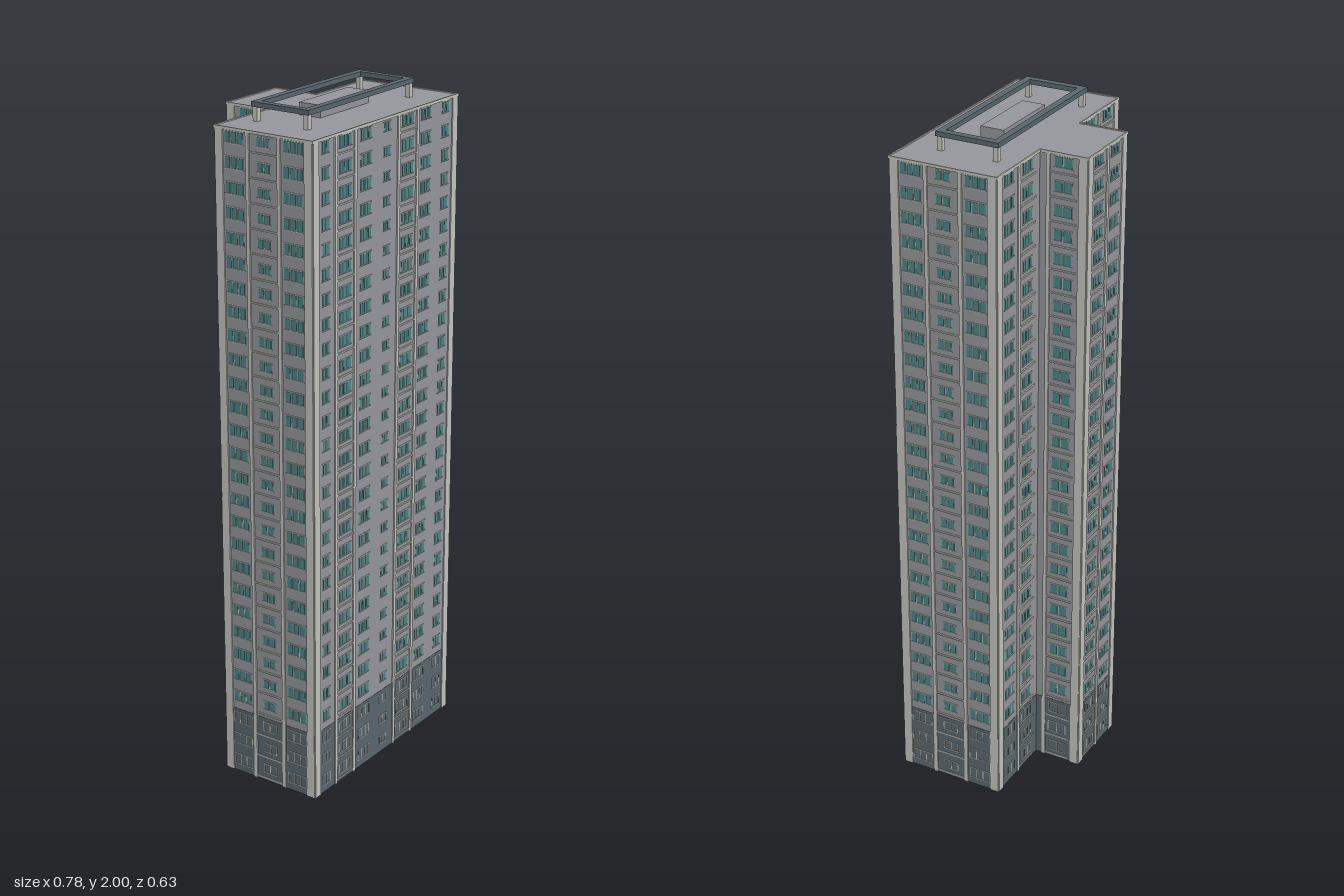
import * as THREE from 'three';
import { mergeGeometries } from 'three/addons/utils/BufferGeometryUtils.js';

const mat = (name, color) => new THREE.MeshStandardMaterial({ name, color });
const HU = 0.348, HV = 0.160, WU = 0.113, WV = 0.303; // half sizes of slab and rear wing
const FLOORS = 28, PITCH = 0.0697, FIRST = 0.04, BASE_TOP = 0.207, ROOF = 1.946;

// T-shaped plan: long slab with a wing at the back, grown outward by o
function planPoints(o) {
  return [
    [-HU - o, -HV - o], [HU + o, -HV - o], [HU + o, HV + o], [WU + o, HV + o],
    [WU + o, WV + o], [-WU - o, WV + o], [-WU - o, HV + o], [-HU - o, HV + o],
  ].map(([x, y]) => new THREE.Vector2(x, y));
}

// Prism of the plan between two heights; a hole makes it a thin skin
function prism(outer, y0, y1, hole) {
  const shape = new THREE.Shape(planPoints(outer));
  if (hole !== undefined) shape.holes.push(new THREE.Path(planPoints(hole)));
  const g = new THREE.ExtrudeGeometry(shape, { depth: y1 - y0, bevelEnabled: false });
  return g.rotateX(-Math.PI / 2).translate(0, y0, 0);
}

export function createModel() {
  const wall = mat('wall grey', 0x98999f);
  const light = mat('pale concrete', 0xc6c6c1);
  const slate = mat('dark slate', 0x5c6970);
  const teal = mat('teal glass', 0x4c8888);

  const model = new THREE.Group();
  const tower = new THREE.Group();
  tower.name = 'tower';
  tower.rotation.y = THREE.MathUtils.degToRad(25);
  tower.position.z = 0.014;
  model.add(tower);

  const add = (name, geo, material) => {
    const m = new THREE.Mesh(geo, material);
    m.name = name;
    tower.add(m);
  };

  // Main volume, dark cladding of the lowest floors, thin roof trim
  add('walls', prism(0, 0, ROOF), wall);
  add('baseCladding', prism(0.001, 0, BASE_TOP, 0), slate);
  add('roofTrim', prism(0.004, ROOF - 0.005, 1.949, 0), light);

  // Facade boxes are collected by part, then merged
  const parts = { pilasters: [], ledges: [], windowFrames: [], windowPanes: [] };
  function facade(x, z, angle, length, pilasters, windows, corners) {
    const place = new THREE.Matrix4().makeRotationY(angle).setPosition(x, 0, z);
    const box = (part, w, h, d, px, py) =>
      parts[part].push(new THREE.BoxGeometry(w, h, d).translate(px, py, 0).applyMatrix4(place));

    // Thin pilasters and pale corner strips
    pilasters.forEach(p => box('pilasters', 0.011, ROOF, 0.008, p, ROOF / 2));
    corners.forEach(s => box('pilasters', 0.026, ROOF, 0.007, s * (length / 2 - 0.0125), ROOF / 2));

    for (const { at, w, n, h = 0.034, ledge = 0 } of windows) {
      const step = w / n;
      for (let f = 0; f < FLOORS; f++) {
        const y = FIRST + f * PITCH, low = f < 3;
        // Glass panes above, slate showing through the frames below
        if (!low)
          for (let i = 0; i < n; i++)
            box('windowPanes', step - 0.006, h - 0.004, 0.003, at - w / 2 + step * (i + 0.5), y);
        // Frame outline, with mullions on the lower floors
        for (const s of [-1, 1]) {
          box('windowFrames', w, 0.0022, 0.005, at, y + s * h / 2);
          if (low) box('windowFrames', 0.0022, h, 0.005, at + s * w / 2, y);
        }
        for (let i = 1; i < n; i++) box('windowFrames', 0.0022, h, 0.004, at - w / 2 + step * i, y);
        if (ledge) box('ledges', ledge, 0.004, 0.007, at, y - 0.031);
      }
    }
  }

  // Front
  facade(0, HV, 0, 2 * HU, [-0.245, -0.155, 0.052, 0.145], [
    { at: -0.29, w: 0.036, n: 2 },
    { at: -0.2, w: 0.058, n: 3, ledge: 0.085 },
    { at: -0.104, w: 0.054, n: 3 },
    { at: -0.003, w: 0.034, n: 2, h: 0.026 },
    { at: 0.098, w: 0.06, n: 3, ledge: 0.088 },
    { at: 0.189, w: 0.052, n: 3 },
    { at: 0.288, w: 0.038, n: 2 },
  ], [-1, 1]);

  // Both ends
  for (const s of [-1, 1])
    facade(s * HU, 0, s * Math.PI / 2, 2 * HV, [-0.052, 0.052], [
      { at: -0.098, w: 0.066, n: 3 },
      { at: 0, w: 0.046, n: 2, h: 0.028, ledge: 0.095 },
      { at: 0.098, w: 0.066, n: 3 },
    ], [-1, 1]);

  // Back of the slab on each side of the wing, and the wing's flanks
  for (const s of [-1, 1]) {
    facade(s * (HU + WU) / 2, -HV, Math.PI, HU - WU, [0], [
      { at: -0.05, w: 0.054, n: 3 },
      { at: 0.05, w: 0.054, n: 3, ledge: 0.085 },
    ], [-s]);
    facade(s * WU, -(HV + WV) / 2, s * Math.PI / 2, WV - HV, [-s * 0.045], [
      { at: 0, w: 0.058, n: 2, ledge: 0.08 },
    ], [s]);
  }

  // Back of the wing
  facade(0, -WV, Math.PI, 2 * WU, [0], [
    { at: -0.047, w: 0.054, n: 3, ledge: 0.08 },
    { at: 0.047, w: 0.054, n: 3 },
  ], [-1, 1]);

  for (const name in parts) add(name, mergeGeometries(parts[name]), name === 'windowPanes' ? teal : light);

  // Rooftop plant room
  const cz = -0.0175;
  add('plantRoom', new THREE.BoxGeometry(0.231, 0.038, 0.071).translate(0, ROOF + 0.016, cz), wall);

  // Raised rectangular frame on four posts
  const FL = 0.252, FW = 0.095, BAR = 0.021;
  const bars = [], posts = [];
  for (const s of [-1, 1]) {
    bars.push(new THREE.BoxGeometry(2 * FL, 0.014, BAR).translate(0, 1.993, cz + s * (FW - BAR / 2)));
    bars.push(new THREE.BoxGeometry(BAR, 0.014, 2 * (FW - BAR)).translate(s * (FL - BAR / 2), 1.993, cz));
    for (const t of [-1, 1])
      posts.push(new THREE.BoxGeometry(0.015, 0.044, 0.015)
        .translate(s * (FL - BAR / 2), ROOF + 0.019, cz + t * (FW - BAR / 2)));
  }
  add('roofFrame', mergeGeometries(bars), slate);
  add('roofFramePosts', mergeGeometries(posts), light);

  return model;
}
